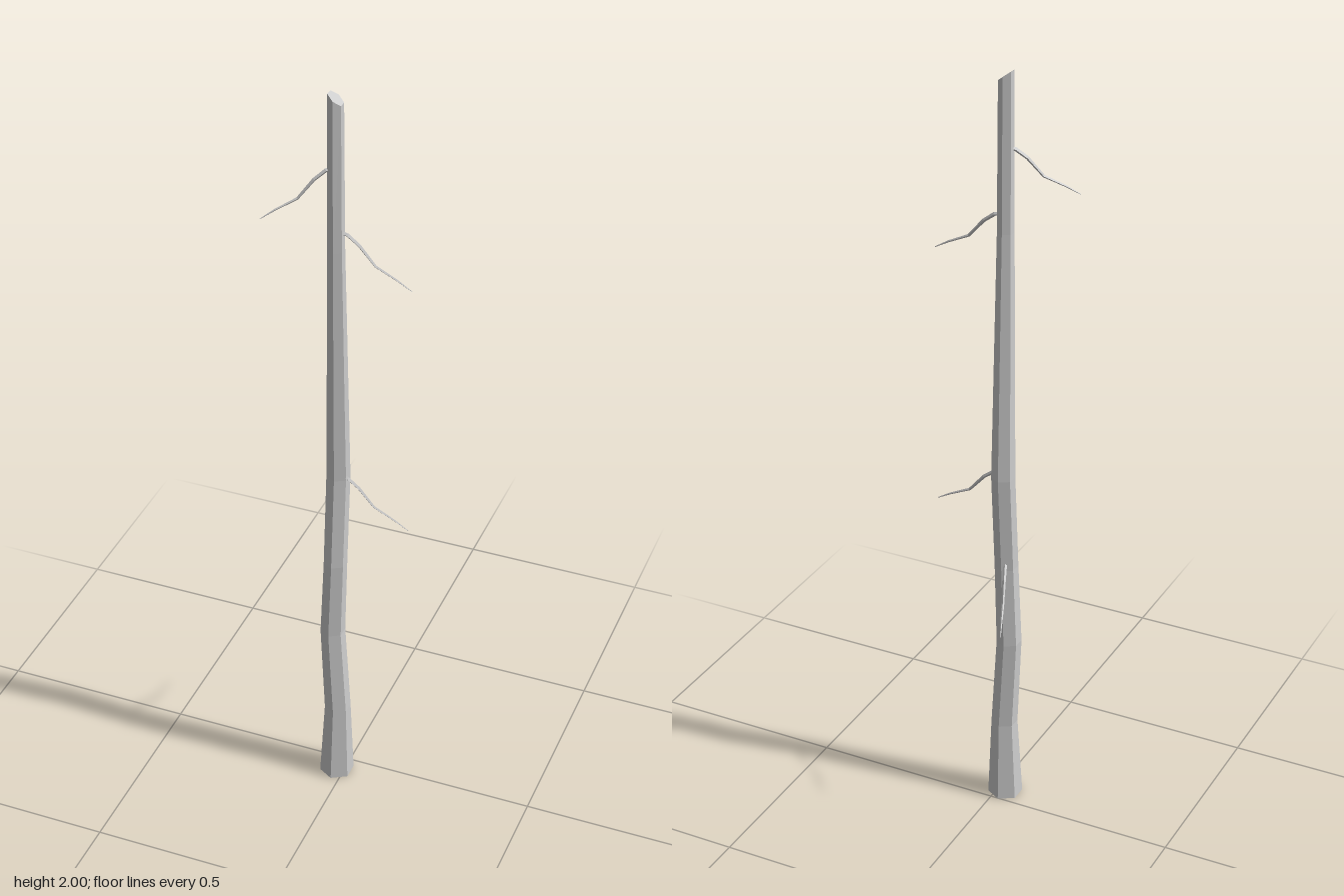
import * as THREE from 'three';

const material = new THREE.MeshStandardMaterial({ color: 0xcccccc, flatShading: true });
const UP = new THREE.Vector3(0, 1, 0);

// Closed skin over a list of rings (arrays of Vector3 of equal length)
function loft(rings, name) {
  const n = rings[0].length, last = rings.length - 1;
  const pos = [], index = [];
  rings.forEach(r => r.forEach(p => pos.push(p.x, p.y, p.z)));
  for (let i = 0; i < last; i++) {
    for (let j = 0; j < n; j++) {
      const k = (j + 1) % n;
      const a = i * n + j, b = i * n + k, c = a + n, d = b + n;
      index.push(a, b, d, a, d, c);
    }
  }
  for (let j = 1; j < n - 1; j++) {
    index.push(0, j + 1, j);
    index.push(last * n, last * n + j, last * n + j + 1);
  }
  const geo = new THREE.BufferGeometry();
  geo.setAttribute('position', new THREE.Float32BufferAttribute(pos, 3));
  geo.setIndex(index);
  const flat = geo.toNonIndexed();
  flat.computeVertexNormals();
  const mesh = new THREE.Mesh(flat, material);
  mesh.name = name;
  return mesh;
}

// Ring of n points around a centre, spanned by the axes u and v
function ring(center, u, v, radius, n) {
  return Array.from({ length: n }, (_, j) => {
    const t = (j / n) * Math.PI * 2;
    return center.clone()
      .addScaledVector(u, Math.cos(t) * radius)
      .addScaledVector(v, Math.sin(t) * radius);
  });
}

// Crooked six-sided trunk: [x, y, z, radius]
function makeTrunk() {
  const sections = [
    [-0.021, 0, 0.043, 0.045],
    [-0.018, 0.22, 0.043, 0.034],
    [-0.031, 0.47, 0.042, 0.032],
    [-0.023, 0.69, 0.042, 0.030],
    [-0.020, 0.95, 0.028, 0.030],
    [-0.018, 1.60, 0.042, 0.021],
    [-0.018, 1.988, 0.042, 0.019],
  ];
  const z = new THREE.Vector3(0, 0, 1), x = new THREE.Vector3(1, 0, 0);
  const rings = sections.map(([cx, cy, cz, r]) => ring(new THREE.Vector3(cx, cy, cz), z, x, r, 6));
  // Slanted cut at the top, lower towards +x
  rings[rings.length - 1].forEach(p => { p.y -= (p.x + 0.018) * 0.75; });
  return loft(rings, 'trunk');
}

// Thin drooping twig running from the trunk's core to its tip
function makeTwig(x, y, z, tipX, tipZ, name) {
  const dir = new THREE.Vector3(tipX - x, 0, tipZ - z);
  const reach = dir.length();
  dir.normalize();
  const side = dir.clone().cross(UP);
  // [share of reach, drop, radius]
  const steps = [
    [0, -0.005, 0.005], [0.12, 0, 0.005], [0.28, 0.022, 0.0045],
    [0.50, 0.068, 0.0035], [0.80, 0.094, 0.0025], [1, 0.115, 0.001],
  ];
  const points = steps.map(([s, drop]) =>
    new THREE.Vector3(x, y - drop, z).addScaledVector(dir, s * reach));
  const rings = points.map((p, i) => {
    const tangent = points[Math.min(i + 1, points.length - 1)].clone()
      .sub(points[Math.max(i - 1, 0)]).normalize();
    return ring(p, side.clone().cross(tangent), side, steps[i][2], 4);
  });
  return loft(rings, name);
}

export function createModel() {
  const model = new THREE.Group();
  model.name = 'bareTreeTrunk';
  model.add(makeTrunk());
  model.add(makeTwig(-0.012, 1.642, 0.039, 0.17, 0.041, 'upperLeftTwig'));
  model.add(makeTwig(-0.012, 0.955, 0.039, 0.17, 0.041, 'lowerLeftTwig'));
  model.add(makeTwig(-0.020, 1.808, 0.041, -0.172, 0.126, 'upperRightTwig'));
  model.add(makeTwig(-0.026, 0.705, 0.030, -0.09, -0.128, 'backTwig'));
  return model;
}
